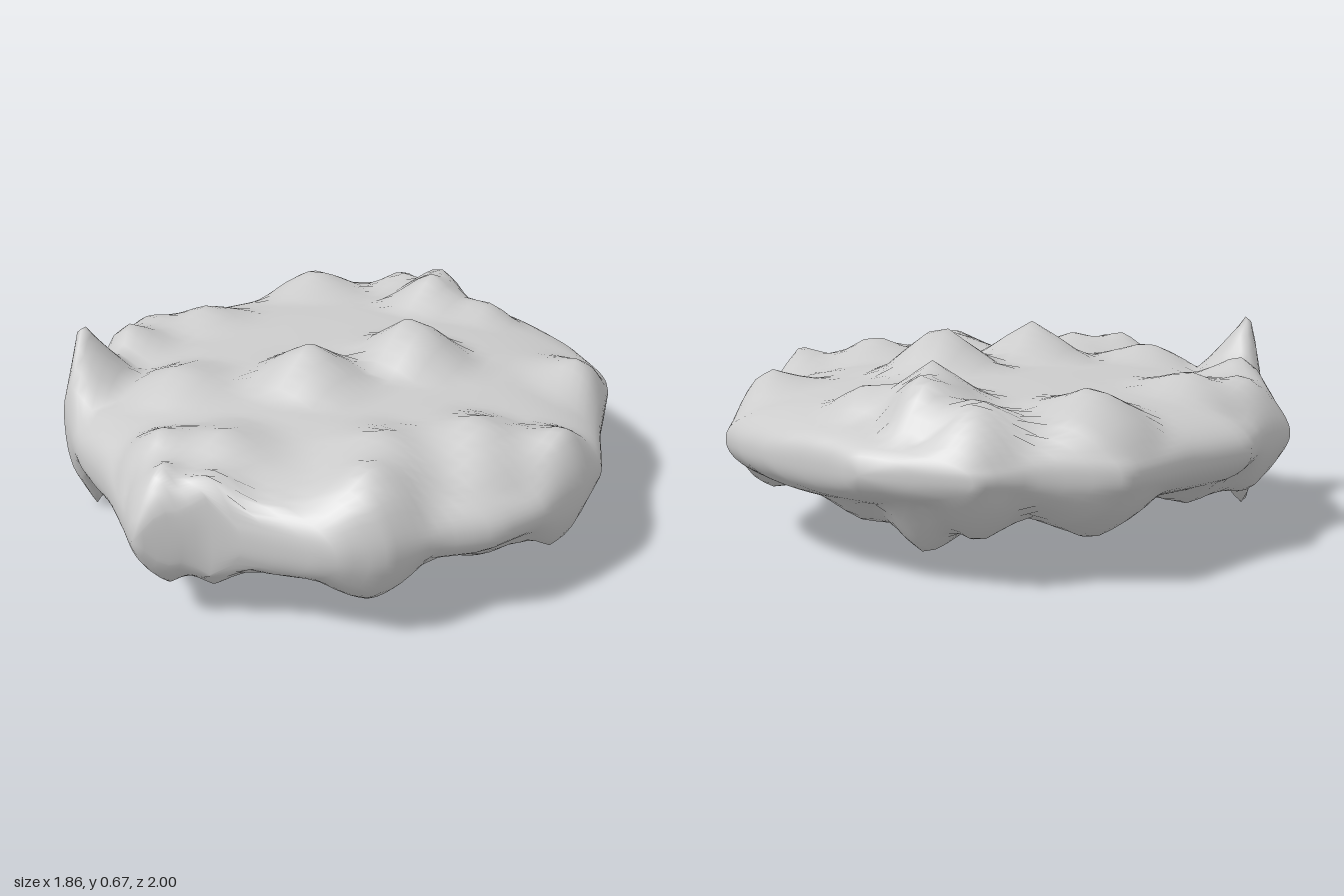
import * as THREE from 'three';

const MID = 0.363;      // height of the mirror plane
const SEGMENTS = 80, RINGS = 60;

// outline of the slab seen from above: [z, right edge, left edge]
const OUTLINE = [
  [-1, 0, 0], [-0.95, 0.14, -0.35], [-0.9, 0.36, -0.39], [-0.82, 0.53, -0.47], [-0.72, 0.67, -0.7],
  [-0.4, 0.8, -0.8], [-0.2, 0.91, -0.9], [-0.03, 0.93, -0.89], [0.15, 0.9, -0.93], [0.33, 0.84, -0.81],
  [0.46, 0.72, -0.75], [0.63, 0.65, -0.67], [0.74, 0.53, -0.49], [0.8, 0.32, -0.33], [0.85, 0.16, -0.24],
  [1, 0, 0],
];

// peaks, repeated mirrored underneath: [x, z, height above mid plane, radius]
const PEAKS = [
  [-0.68, 0.52, 0.36, 0.18], [0, 0.15, 0.325, 0.2], [0.17, -0.2, 0.34, 0.2], [-0.06, -0.67, 0.29, 0.17],
  [-0.1, -0.78, 0.268, 0.13], [-0.52, -0.56, 0.225, 0.2], [0.45, 0.38, 0.245, 0.2], [0.05, 0.64, 0.235, 0.18],
  [-0.1, 0.74, 0.235, 0.15], [0.63, 0.13, 0.245, 0.2], [0.84, -0.02, 0.213, 0.18], [-0.64, -0.06, 0.217, 0.18],
  [-0.72, 0.24, 0.235, 0.17], [0.01, 0.86, 0.21, 0.12], [-0.27, -0.79, 0.21, 0.15], [0.63, -0.5, 0.2, 0.18],
  [-0.33, 0.4, 0.24, 0.19], [0.52, 0.54, 0.235, 0.18], [0.14, 0.8, 0.2, 0.1], [0.13, -0.71, 0.217, 0.14],
  [-0.78, 0.07, 0.195, 0.16],
];

// linear lookup of the outline edges at z
function edgesAt(z) {
  let i = 1;
  while (i < OUTLINE.length - 1 && OUTLINE[i][0] < z) i++;
  const a = OUTLINE[i - 1], b = OUTLINE[i], t = (z - a[0]) / (b[0] - a[0]);
  return [THREE.MathUtils.lerp(a[1], b[1], t), THREE.MathUtils.lerp(a[2], b[2], t)];
}

// one surface point on the ring at z, angle around the z axis
function surfacePoint(z, angle) {
  const [right, left] = edgesAt(z);
  const c = Math.cos(angle), s = Math.sin(angle), n = 2.25;
  const r = Math.pow(Math.abs(c) ** n + Math.abs(s) ** n, -1 / n);
  const x = c * r * (c > 0 ? right : -left);
  const level = Math.abs(s * r);
  const half = 0.195 * Math.sqrt(1 - Math.abs(z) ** 2.9);
  let h = half * level;
  for (const [px, pz, ph, radius] of PEAKS) {
    const k = THREE.MathUtils.clamp(1.04 - Math.hypot(x - px, z - pz) / radius, 0, 1);
    h += Math.max(0, ph - h) * k * Math.min(1, level * 2.2);
  }
  return [x, MID + Math.sign(s) * h, z];
}

// closed skin of rings between a front and a back pole
function skinGeometry() {
  const positions = [0, MID, -1], index = [];
  for (let i = 1; i < RINGS; i++) {
    const u = -1 + (2 * i) / RINGS;
    const z = Math.sin(u * Math.PI / 2) * 0.3 + u * 0.7;
    for (let j = 0; j < SEGMENTS; j++) positions.push(...surfacePoint(z, (j / SEGMENTS) * Math.PI * 2));
  }
  positions.push(0, MID, 1);
  const last = positions.length / 3 - 1;
  const id = (i, j) => 1 + (i - 1) * SEGMENTS + (j % SEGMENTS);
  for (let j = 0; j < SEGMENTS; j++) {
    index.push(0, id(1, j + 1), id(1, j));
    for (let i = 1; i < RINGS - 1; i++) {
      const a = id(i, j), b = id(i, j + 1), c = id(i + 1, j + 1), d = id(i + 1, j);
      index.push(a, b, c, a, c, d);
    }
    index.push(last, id(RINGS - 1, j), id(RINGS - 1, j + 1));
  }
  const geometry = new THREE.BufferGeometry();
  geometry.setAttribute('position', new THREE.Float32BufferAttribute(positions, 3));
  geometry.setIndex(index);
  geometry.computeVertexNormals();
  return geometry;
}

export function createModel() {
  const group = new THREE.Group();
  group.name = 'flatRock';
  const rock = new THREE.Mesh(skinGeometry(), new THREE.MeshStandardMaterial({ color: 0xcccccc }));
  rock.name = 'rockSurface';
  group.add(rock);
  return group;
}
